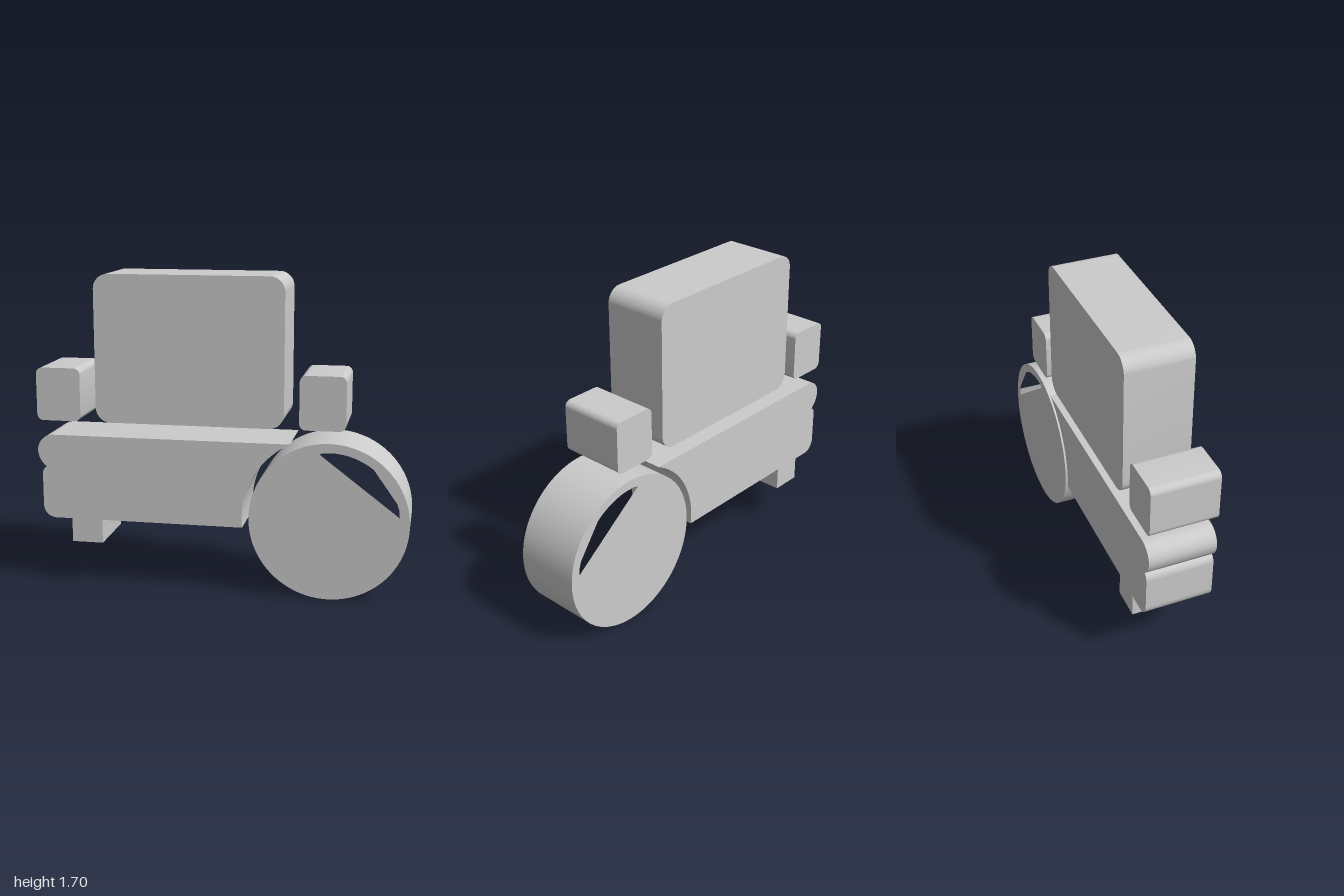
import * as THREE from 'three';
import { toCreasedNormals } from 'three/addons/utils/BufferGeometryUtils.js';

const DEPTH = 0.36;
const CX = 0.577, CY = 0.423, R = 0.423, INNER = 0.375;
const material = new THREE.MeshStandardMaterial({ color: 0xcccccc });
const inward = new THREE.MeshStandardMaterial({ color: 0xcccccc, side: THREE.BackSide });

// Extrudes an outline, centred on z = 0, with smooth rounded corners
function slab(name, shape) {
  const geo = new THREE.ExtrudeGeometry(shape, { depth: DEPTH, bevelEnabled: false, curveSegments: 20 });
  geo.translate(0, 0, -DEPTH / 2);
  const mesh = new THREE.Mesh(toCreasedNormals(geo, 0.5), material);
  mesh.name = name;
  return mesh;
}

function roundedRect(x0, y0, x1, y1, r) {
  const s = new THREE.Shape();
  s.absarc(x1 - r, y0 + r, r, -Math.PI / 2, 0);
  s.absarc(x1 - r, y1 - r, r, 0, Math.PI / 2);
  s.absarc(x0 + r, y1 - r, r, Math.PI / 2, Math.PI);
  s.absarc(x0 + r, y0 + r, r, Math.PI, Math.PI * 1.5);
  s.closePath();
  return s;
}

// Long body with a notched end, a foot and a hollow curve around the wheel
function bodyShape() {
  const s = new THREE.Shape();
  const a0 = Math.atan2(0.835 - CY, 0.37 - CX);
  const a1 = Math.atan2(0.37 - CY, 0.12 - CX) + Math.PI * 2;
  s.moveTo(-0.915, 0.835);
  s.absarc(-0.915, 0.745, 0.088, Math.PI / 2, Math.PI);
  s.quadraticCurveTo(-1.0, 0.69, -0.955, 0.655);
  s.quadraticCurveTo(-0.98, 0.645, -0.98, 0.61);
  s.lineTo(-0.98, 0.44);
  s.absarc(-0.91, 0.44, 0.07, Math.PI, Math.PI * 1.5);
  for (const [x, y] of [[-0.82, 0.37], [-0.82, 0.24], [-0.65, 0.24], [-0.65, 0.37], [0.12, 0.37]]) s.lineTo(x, y);
  s.absarc(CX, CY, 0.46, a1, a0, true);
  s.closePath();
  return s;
}

// Hollow drum: outer rim, inner lining and two pierced faces
function wheel() {
  const group = new THREE.Group();
  group.name = 'wheel';
  const add = (name, geo, mat = material) => {
    const mesh = new THREE.Mesh(geo, mat);
    mesh.name = name;
    group.add(mesh);
  };
  add('rim', new THREE.CylinderGeometry(R, R, DEPTH, 96, 1, true).rotateX(Math.PI / 2));

  // Lining leaves a gap beside the straight edge of the opening
  const from = 0.25, to = 0.91;
  const lining = new THREE.CylinderGeometry(INNER, INNER, DEPTH, 72, 1, true, 0, Math.PI * 2 - (to - from));
  lining.rotateX(Math.PI / 2).rotateZ(Math.PI / 2 + to);
  add('lining', lining, inward);

  const face = new THREE.Shape().absarc(0, 0, R, 0, Math.PI * 2);
  const hole = [[-0.053, 0.366], [-0.03, 0.373]];
  for (let i = 0; i <= 8; i++) {
    const a = 1.54 - (1.54 - to) * i / 8;
    hole.push([INNER * Math.cos(a), INNER * Math.sin(a)]);
  }
  hole.push([0.355, 0.12], [0.366, 0.085], [0.37, 0.045]);
  face.holes.push(new THREE.Path(hole.map(([x, y]) => new THREE.Vector2(x, y))));

  const front = new THREE.ShapeGeometry(face, 96);
  const back = front.clone();
  back.index.array.reverse();
  for (let i = 0; i < back.attributes.normal.count; i++) back.attributes.normal.setZ(i, -1);
  add('frontFace', front.translate(0, 0, DEPTH / 2));
  add('backFace', back.translate(0, 0, -DEPTH / 2));
  group.position.set(CX, CY, 0);
  return group;
}

export function createModel() {
  const model = new THREE.Group();
  model.name = 'model';
  model.add(
    slab('largePanel', roundedRect(-0.672, 0.912, 0.338, 1.7, 0.08)),
    slab('rightBlock', roundedRect(-1.0, 0.912, -0.758, 1.198, 0.035)),
    slab('leftBlock', roundedRect(0.417, 0.912, 0.66, 1.198, 0.035)),
    slab('body', bodyShape()),
    wheel()
  );
  return model;
}
